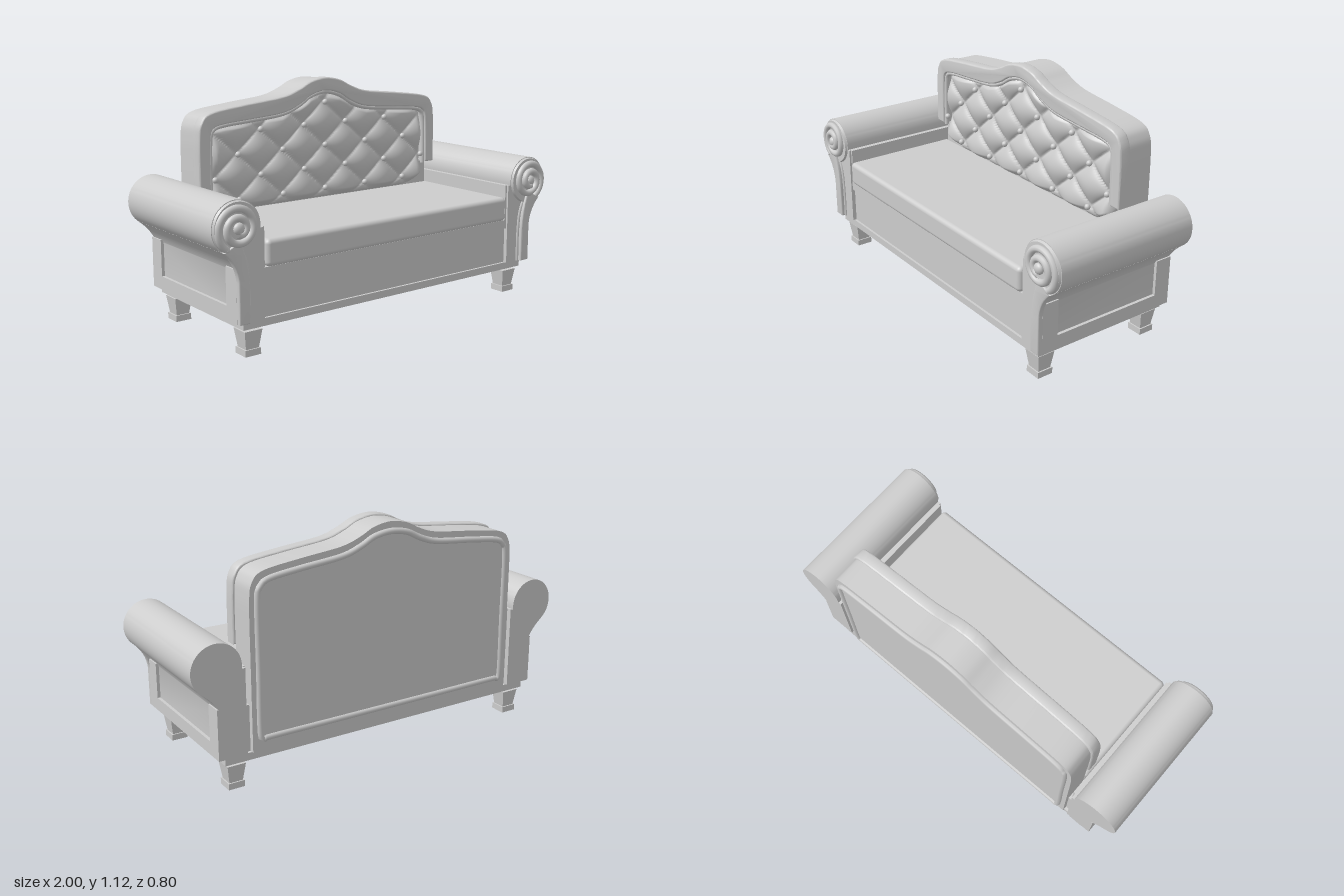
import * as THREE from 'three';
import { toCreasedNormals } from 'three/addons/utils/BufferGeometryUtils.js';
import { RoundedBoxGeometry } from 'three/addons/geometries/RoundedBoxGeometry.js';

const V2 = (x, y) => new THREE.Vector2(x, y);

// Smooth symmetric arch through half-profile points listed from the side up to the centre
function arch(half, n = 96) {
  const left = half.map(([x, y]) => V2(-x, y));
  const right = half.slice(0, -1).reverse().map(([x, y]) => V2(x, y));
  return new THREE.SplineCurve([...left, ...right]).getPoints(n);
}

// Extrude a shape between two z positions with a small inward bevel
function slab(shape, z0, z1, bevel = 0) {
  const g = new THREE.ExtrudeGeometry(shape, {
    depth: z1 - z0 - 2 * bevel, curveSegments: 24, bevelEnabled: bevel > 0,
    bevelSize: bevel, bevelThickness: bevel, bevelOffset: -bevel, bevelSegments: 3,
  });
  return toCreasedNormals(g.translate(0, 0, z0 + bevel), 0.6);
}

function box(x0, x1, y0, y1, z0, z1) {
  return new THREE.BoxGeometry(x1 - x0, y1 - y0, z1 - z0)
    .translate((x0 + x1) / 2, (y0 + y1) / 2, (z0 + z1) / 2);
}

// Mirror a geometry across x = 0, keeping faces outward
function mirrored(geometry) {
  const g = geometry.index ? geometry.toNonIndexed() : geometry.clone();
  for (const name of ['position', 'normal']) {
    const a = g.attributes[name];
    for (let i = 0; i < a.count; i += 3) {
      const p = [0, 2, 1].map(k => [-a.getX(i + k), a.getY(i + k), a.getZ(i + k)]);
      p.forEach((v, k) => a.setXYZ(i + k, ...v));
    }
  }
  return g;
}

const OUTER = [[0.73, 0.63], [0.73, 0.75], [0.728, 0.87], [0.715, 0.945], [0.66, 0.993], [0.47, 1.02],
  [0.26, 1.043], [0.16, 1.075], [0.09, 1.108], [0, 1.123]];
const INNER = [[0.67, 0.63], [0.67, 0.75], [0.665, 0.877], [0.645, 0.92], [0.58, 0.936], [0.45, 0.946],
  [0.26, 0.963], [0.16, 0.997], [0.09, 1.038], [0, 1.058]];
const REAR = [[0.655, 0.225], [0.68, 0.25], [0.68, 0.55], [0.68, 0.86], [0.665, 0.92], [0.62, 0.948], [0.47, 0.968],
  [0.26, 0.99], [0.16, 1.022], [0.09, 1.056], [0, 1.07]];

// Deep-buttoned upholstery: a grid puffed up between diagonal seams
function tuftedPanel() {
  const nx = 132, ny = 88, w = 0.667;
  const g = new THREE.PlaneGeometry(2, 1, nx, ny);
  const p = g.attributes.position;
  const edge = INNER.slice(2).reverse();
  const topAt = x => {
    for (let i = 1; i < edge.length; i++) {
      const [xa, ya] = edge[i - 1], [xb, yb] = edge[i];
      if (x <= xb) return ya + (yb - ya) * (x - xa) / (xb - xa);
    }
    return edge[edge.length - 1][1];
  };
  for (let i = 0; i < p.count; i++) {
    const x = p.getX(i) * w, ax = Math.abs(x), v = p.getY(i) + 0.5;
    const t = Math.max(0, (ax - 0.53) / (w - 0.53));
    const bottom = 0.51 + 0.09 * (1 - Math.sqrt(Math.max(0, 1 - t * t)));
    const top = topAt(ax) + 0.004, y = bottom + (top - bottom) * v;
    const a = x / 0.257 + (y - 0.565) / 0.22, b = x / 0.257 - (y - 0.565) / 0.22;
    const puff = Math.pow(Math.abs(Math.sin(Math.PI * a) * Math.sin(Math.PI * b)), 0.55);
    const d = Math.min(w - ax, y - bottom, top - y);
    const fall = Math.sqrt(Math.min(1, Math.max(0, d / 0.035)));
    p.setXYZ(i, x, y, -0.25 + fall * (0.022 + 0.038 * puff));
  }
  g.computeVertexNormals();
  return g;
}

// Rolled arm cross-section on the +x side
function armShape() {
  const s = new THREE.Shape();
  s.moveTo(0.745, 0.165);
  s.lineTo(0.87, 0.165);
  s.lineTo(0.87, 0.39);
  s.quadraticCurveTo(0.895, 0.445, 0.954, 0.49);
  s.absarc(0.88, 0.585, 0.12, -0.91, Math.PI + 0.13, false);
  s.lineTo(0.745, 0.57);
  return s;
}

// Curved moulding on the front of the arm, sweeping up into the scroll
function sweepShape() {
  const s = new THREE.Shape();
  s.moveTo(0.83, 0.165);
  s.lineTo(0.885, 0.165);
  s.lineTo(0.885, 0.35);
  s.quadraticCurveTo(0.89, 0.43, 0.954, 0.49);
  s.lineTo(0.87, 0.53);
  s.quadraticCurveTo(0.832, 0.43, 0.83, 0.33);
  return s;
}

function scrollCurve() {
  const pts = [];
  for (let i = 0; i <= 40; i++) {
    const t = i / 40, a = -1 + t * Math.PI * 3.9, r = 0.101 - 0.076 * t;
    pts.push(new THREE.Vector3(0.88 + r * Math.cos(a), 0.585 + r * Math.sin(a), 0.37 + 0.014 * t));
  }
  return new THREE.CatmullRomCurve3(pts);
}

export function createModel() {
  const model = new THREE.Group();
  model.name = 'sofa';
  const material = new THREE.MeshStandardMaterial({ color: 0xcccccc });
  material.name = 'light grey';
  const add = (name, geometry, parent = model) => {
    const m = new THREE.Mesh(geometry, material);
    m.name = name;
    parent.add(m);
    return m;
  };
  const addPair = (name, geometry) => {
    add(name + 'Left', geometry);
    add(name + 'Right', mirrored(geometry));
  };

  // Legs: tapered square block over a foot
  const taper = new THREE.CylinderGeometry(0.064, 0.047, 0.085, 4).toNonIndexed();
  taper.rotateY(Math.PI / 4).translate(0, 0.0725, 0).computeVertexNormals();
  for (const x of [-0.79, 0.79]) for (const z of [0.293, -0.317]) {
    const leg = new THREE.Group();
    leg.name = 'leg';
    leg.position.set(x, 0, z);
    add('legTaper', taper, leg);
    add('legFoot', box(-0.04, 0.04, 0, 0.03, -0.04, 0.04), leg);
    model.add(leg);
  }

  // Base and seat
  add('plinth', box(-0.85, 0.85, 0.13, 0.165, -0.375, 0.352));
  add('seatBase', box(-0.75, 0.75, 0.165, 0.385, -0.36, 0.34));
  add('frontRail', box(-0.75, 0.75, 0.345, 0.39, 0.3, 0.352));
  add('seatCushion', new RoundedBoxGeometry(1.46, 0.122, 0.62, 5, 0.022).translate(0, 0.45, 0.056));

  // Arms with framed outer sides
  addPair('arm', slab(armShape(), -0.385, 0.36));
  addPair('armFrontPost', box(0.8, 0.885, 0.165, 0.405, 0.275, 0.36));
  addPair('armBackPost', box(0.8, 0.885, 0.165, 0.405, -0.385, -0.3));
  addPair('armBottomRail', box(0.8, 0.885, 0.165, 0.23, -0.3, 0.275));
  addPair('armInnerLedge', box(0.735, 0.76, 0.385, 0.57, -0.36, 0.35));

  // Scrolls on the arm fronts
  addPair('armSweep', slab(sweepShape(), 0.355, 0.383, 0.007));
  addPair('armSweepBead', new THREE.TubeGeometry(new THREE.CatmullRomCurve3(
    [[0.823, 0.165], [0.823, 0.33], [0.835, 0.43], [0.865, 0.5]].map(([x, y]) => new THREE.Vector3(x, y, 0.361))),
  20, 0.008, 8));
  const disc = new THREE.CylinderGeometry(0.112, 0.119, 0.016, 40);
  addPair('scrollDisc', disc.rotateX(Math.PI / 2).translate(0.88, 0.585, 0.363));
  addPair('scroll', new THREE.TubeGeometry(scrollCurve(), 110, 0.0165, 10));
  addPair('scrollTip', new THREE.SphereGeometry(0.0165, 16, 12).translate(0.935, 0.5, 0.37));
  addPair('scrollEye', new THREE.SphereGeometry(0.026, 18, 12).scale(1, 1, 0.7).translate(0.88, 0.585, 0.383));

  // Backrest body and arched front frame
  const outer = arch(OUTER), inner = arch(INNER);
  const bodyPts = outer.map(p => V2(p.x * 0.985, p.y - 0.008));
  add('backBody', slab(new THREE.Shape([V2(-0.719, 0.165), ...bodyPts, V2(0.719, 0.165)]), -0.385, -0.25));
  add('backFrame', slab(new THREE.Shape([...outer, ...[...inner].reverse()]), -0.25, -0.19, 0.008));
  const bead = new THREE.CatmullRomCurve3(inner.map(p => new THREE.Vector3(p.x * 0.992, p.y - 0.006, -0.207)));
  add('backFrameBead', new THREE.TubeGeometry(bead, 110, 0.011, 8));

  // Tufting and buttons
  add('tuftedPanel', tuftedPanel());
  const button = new THREE.SphereGeometry(0.0145, 14, 10);
  const rows = [[0.565, 5], [0.675, 6], [0.785, 5], [0.895, 4], [1.0, 1]];
  for (const [y, count] of rows) for (let i = 0; i < count; i++) {
    add('button', button).position.set((i - (count - 1) / 2) * 0.257, y, -0.2);
  }

  // Rear panel outlined by a rounded moulding
  const rear = arch(REAR, 120);
  add('rearPanel', slab(new THREE.Shape(rear), -0.39, -0.38));
  const loop = new THREE.CatmullRomCurve3(
    [...rear, V2(0.3, 0.225), V2(-0.3, 0.225)].map(p => new THREE.Vector3(p.x, p.y, -0.387)), true);
  add('rearMoulding', new THREE.TubeGeometry(loop, 260, 0.015, 8, true));

  return model;
}
